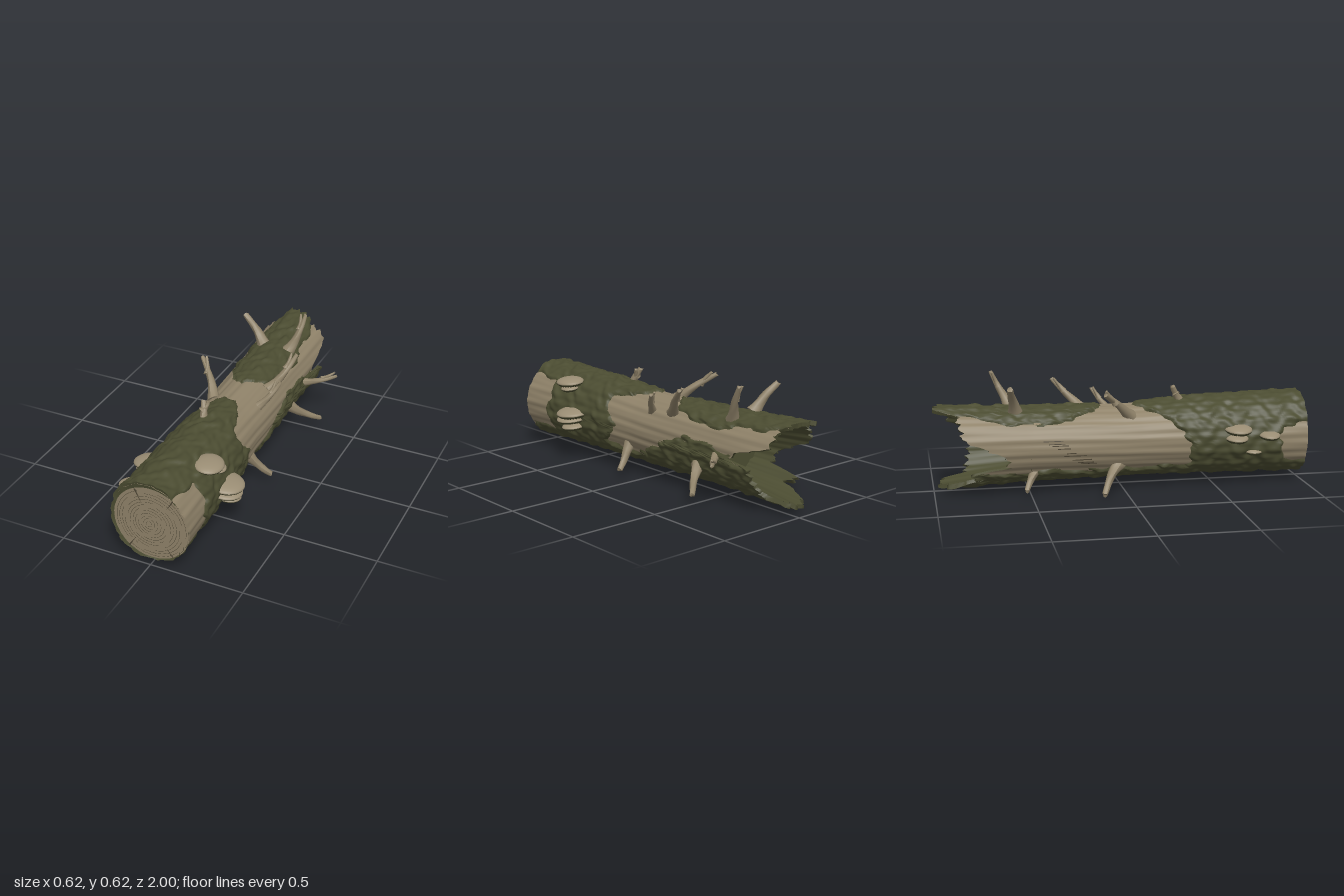
import * as THREE from 'three';

const material = (name, color, side = THREE.FrontSide) => {
  const m = new THREE.MeshStandardMaterial({ color, side });
  m.name = name;
  return m;
};

const { sin, cos, PI, min, max, abs } = Math;
const clamp = THREE.MathUtils.clamp;

// piecewise linear lookup, points sorted by x
function table(x, pts) {
  if (x <= pts[0][0]) return pts[0][1];
  for (let i = 1; i < pts.length; i++) {
    const [x0, y0] = pts[i - 1], [x1, y1] = pts[i];
    if (x <= x1) return y0 + (y1 - y0) * (x - x0) / (x1 - x0);
  }
  return pts[pts.length - 1][1];
}

// trunk axis and radius along z; angle t runs from the top towards +x
const centreX = z => table(z, [[-0.9, -0.045], [-0.6, -0.035], [0, -0.02], [1, 0.002]]);
const centreY = z => table(z, [[-1, 0.25], [0, 0.248], [0.4, 0.256], [1, 0.258]]);
const baseRadius = z => table(z, [[-1, 0.212], [-0.8, 0.202], [-0.5, 0.19], [0.1, 0.188], [0.4, 0.2], [1, 0.212]]);
const woodRadius = (t, z) => baseRadius(z) + 0.002 * sin(17 * t + 2 * sin(3 * z)) + 0.0015 * sin(31 * t + 4 * z)
  + 0.003 * sin(3 * t + 2 * z);
const onTrunk = (t, z, r) => [centreX(z) + r * sin(t), centreY(z) + r * cos(t), z];

// jagged outline of the broken end
const END = [[0, -0.98], [20, -0.95], [28, -0.91], [50, -0.92], [64, -0.9], [70, -0.8], [80, -0.69], [90, -0.66],
  [96, -0.8], [120, -0.81], [150, -0.83], [160, -0.95], [180, -0.97], [200, -0.9], [216, -0.74], [228, -0.82],
  [240, -0.62], [258, -0.62], [272, -0.72], [288, -0.85], [310, -0.87], [332, -0.88], [340, -0.99], [360, -0.98]];
const endZ = t => max(-1, table(THREE.MathUtils.radToDeg(t), END) + 0.012 * sin(29 * t) + 0.008 * sin(53 * t));

// signed cover of bark: positive where bark clings, negative where bare wood shows
function barkCover(t, z) {
  let d = THREE.MathUtils.radToDeg(t);
  if (d > 180) d -= 360;
  const deg = 0.0035;
  const edge = table(d, [[-180, 0.3], [-90, 0.36], [-50, 0.22], [-30, 0.13], [-15, 0.08], [18, 0.08], [32, 0.2],
    [45, 0.3], [70, 0.3], [85, 0.23], [105, 0.24], [120, 0.31], [180, 0.3]]);
  const rightWindow = min(z - 0.8, (42 - abs(d - 85)) * deg);
  const leftWindow = min(z - 0.86, (28 - abs(d + 100)) * deg);
  const front = min(z - edge, -rightWindow, -leftWindow);
  const rightLimit = table(z, [[-0.85, 98], [-0.75, 92], [-0.55, 74], [-0.28, 77], [-0.18, 95], [-0.06, 108], [0, 126]]);
  const under = d > 0 ? (d - rightLimit) * deg : (-d - 132) * deg;
  const half = table(z, [[-1, 27], [-0.8, 36], [-0.6, 47], [-0.4, 54], [-0.2, 34], [-0.1, 0], [0.1, -60]]);
  const top = (half - abs(d)) * deg;
  const wobble = 0.012 * sin(7 * t + 19 * z) + 0.009 * sin(13 * t - 31 * z) + 0.006 * sin(23 * t + 47 * z);
  return max(front, under, top) + wobble;
}
function barkRadius(t, z) {
  const k = clamp(barkCover(t, z) / 0.014, -0.5, 1);
  const bump = 0.004 * sin(5 * t + 21 * z + 2 * sin(4 * t)) * sin(17 * z - 3 * t) + 0.003 * sin(14 * t + 3 * sin(33 * z))
    + 0.0025 * sin(50 * z + 3 * sin(6 * t));
  return woodRadius(t, z) + (k > 0 ? k * (0.012 + bump) - 0.001 : 0.012 * k - 0.001);
}

// closed loops of nu points, nv + 1 rows, optionally leaving out cells
function loops(name, mat, nu, nv, point, keep) {
  const pos = [], index = [];
  for (let j = 0; j <= nv; j++) {
    for (let i = 0; i < nu; i++) pos.push(...point(i / nu * 2 * PI, j / nv));
  }
  for (let j = 0; j < nv; j++) {
    for (let i = 0; i < nu; i++) {
      if (keep && !keep((i + 0.5) / nu * 2 * PI, (j + 0.5) / nv)) continue;
      const a = j * nu + i, b = j * nu + (i + 1) % nu;
      index.push(a, b, b + nu, a, b + nu, a + nu);
    }
  }
  const g = new THREE.BufferGeometry();
  g.setAttribute('position', new THREE.Float32BufferAttribute(pos, 3));
  g.setIndex(index);
  g.computeVertexNormals();
  const mesh = new THREE.Mesh(g, mat);
  mesh.name = name;
  return mesh;
}

export function createModel() {
  const model = new THREE.Group();
  model.name = 'fallenLog';
  const wood = material('bare wood', 0x8f8269);
  const bark = material('mossy bark', 0x4b4c31);
  const crack = material('dark crack', 0x4d4535, THREE.DoubleSide);
  const cap = material('pale fungus', 0x9a8d74);
  const add = (name, geometry, mat, parent = model) => {
    const mesh = new THREE.Mesh(geometry, mat);
    mesh.name = name;
    parent.add(mesh);
    return mesh;
  };

  // trunk and the bark layer over it
  const along = (t, v) => 1 + (endZ(t) - 1) * v;
  model.add(loops('trunk', wood, 120, 90, (t, v) => onTrunk(t, along(t, v), woodRadius(t, along(t, v)))));
  model.add(loops('bark', bark, 150, 180, (t, v) => onTrunk(t, along(t, v), barkRadius(t, along(t, v))),
    (t, v) => barkCover(t, along(t, v)) > -0.02));

  // broken rim and hollow
  const hollowRadius = (t, z) => woodRadius(t, z) - 0.012 - 0.025 * clamp((z - endZ(t)) / 0.3, 0, 1);
  model.add(loops('brokenRim', bark, 150, 1, (t, v) => {
    const z = endZ(t);
    return onTrunk(t, z, v ? hollowRadius(t, z) : max(woodRadius(t, z), barkRadius(t, z)));
  }));
  model.add(loops('hollow', bark, 120, 12, (t, v) => {
    const z = endZ(t) + (-0.5 - endZ(t)) * v;
    return onTrunk(t, z, hollowRadius(t, z));
  }));
  const plug = add('hollowEnd', new THREE.CircleGeometry(0.19, 40), bark);
  plug.position.set(centreX(-0.5), centreY(-0.5), -0.5);
  plug.rotation.y = PI;

  // sawn face with bark ring, growth rings and splits
  model.add(loops('sawnBarkRing', bark, 150, 1, (t, v) => v
    ? onTrunk(t, 1, max(woodRadius(t, 1), barkRadius(t, 1)))
    : [0.012 + 0.2 * sin(t), 0.248 + 0.2 * cos(t), 0.992]));
  const face = add('sawnFace', new THREE.CircleGeometry(0.206, 64), wood);
  face.position.set(0.012, 0.248, 0.994);
  for (let i = 0; i < 12; i++) {
    const r = 0.014 + i * 0.0158;
    for (let k = 0; k < 3; k++) {
      const ring = add('growthRing', new THREE.RingGeometry(r, r + 0.0018, 24, 1, i * 1.7 + k * 2.1, 1.5), crack);
      ring.position.set(0.012 * i / 11, 0.244 + 0.004 * i / 11, 0.9955);
    }
  }
  for (const [x0, y0, x1, y1] of [[-0.072, 0.432, -0.034, 0.352], [0.136, 0.42, 0.098, 0.36],
    [-0.122, 0.072, -0.078, 0.14], [0.125, 0.08, 0.088, 0.13]]) {
    const nx = (y1 - y0) * 0.06, ny = (x0 - x1) * 0.06;
    const s = new THREE.Shape([[x0 + nx, y0 + ny], [x0 - nx, y0 - ny], [x1, y1]].map(p => new THREE.Vector2(...p)));
    add('radialSplit', new THREE.ShapeGeometry(s), crack).position.z = 0.996;
  }

  // long weather cracks on the bare wood
  for (let i = 0; i < 70; i++) {
    const t = (i * 2.39996) % (2 * PI), z = -0.75 + ((i * 0.618) % 1) * 1.7, len = 0.05 + (i % 5) * 0.018;
    if (barkCover(t, z) > -0.05 || z - len < endZ(t) + 0.05) continue;
    const slit = add('weatherCrack', new THREE.BoxGeometry(0.004, 0.005, len), crack);
    slit.position.set(...onTrunk(t, z, woodRadius(t, z)));
    slit.rotation.z = -t;
  }

  // branch stubs: base, tip, base radius, tip radius, fork flag
  const up = new THREE.Vector3(0, 1, 0);
  function stick(parent, a, b, r0, r1) {
    const len = a.distanceTo(b);
    const g = new THREE.CylinderGeometry(r1, r0, len, 9, 7);
    const p = g.attributes.position;
    for (let i = 0; i < p.count; i++) {
      const s = p.getY(i) / len + 0.5, angle = Math.atan2(p.getZ(i), p.getX(i));
      const f = 1 + 0.5 * (1 - s) ** 4 + 0.1 * sin(3 * angle + 9 * s);
      const bend = 0.05 * len * sin(s * PI);
      p.setXYZ(i, p.getX(i) * f + bend, p.getY(i) + (s > 0.99 ? 0.35 * r1 * sin(2 * angle) : 0), p.getZ(i) * f);
    }
    g.computeVertexNormals();
    const mesh = add('branchStub', g, wood, parent);
    mesh.position.copy(a).lerp(b, 0.5);
    mesh.quaternion.setFromUnitVectors(up, b.clone().sub(a).normalize());
  }
  const branches = [
    [[-0.1, 0.43, -0.57], [-0.235, 0.575, -0.61], 0.027, 0.016, 0],
    [[-0.12, 0.39, 0.04], [-0.265, 0.535, -0.12], 0.024, 0.012, 1],
    [[-0.04, 0.42, 0.34], [-0.06, 0.53, 0.28], 0.022, 0.014, 1],
    [[0.05, 0.42, -0.58], [0.11, 0.615, -0.68], 0.026, 0.01, 1],
    [[0.1, 0.39, -0.18], [0.2, 0.55, -0.34], 0.024, 0.011, 1],
    [[0.1, 0.36, -0.02], [0.2, 0.49, -0.12], 0.02, 0.01, 1],
    [[0.13, 0.25, -0.55], [0.305, 0.25, -0.7], 0.02, 0.009, 1],
    [[0.13, 0.17, -0.41], [0.28, 0.057, -0.53], 0.025, 0.013, 0],
    [[0.13, 0.17, 0.14], [0.245, 0.043, 0.09], 0.025, 0.015, 0],
    [[-0.15, 0.14, -0.03], [-0.3, 0.014, -0.13], 0.026, 0.015, 0],
    [[-0.13, 0.13, -0.46], [-0.235, 0.037, -0.53], 0.024, 0.013, 0],
  ];
  for (const [base, tip, r0, r1, fork] of branches) {
    const branch = new THREE.Group();
    branch.name = 'branch';
    model.add(branch);
    const a = new THREE.Vector3(...base), b = new THREE.Vector3(...tip);
    stick(branch, a, b, r0, r1);
    if (fork) {
      const start = a.clone().lerp(b, 0.6);
      const side = b.clone().sub(a).normalize().cross(new THREE.Vector3(0, 0, 1)).normalize();
      const end = a.clone().lerp(b, 0.95).addScaledVector(side, base[0] > 0 ? -0.026 : 0.03);
      stick(branch, start, end, r1 * 1.1, r1 * 0.6);
    }
  }

  // bracket fungi: centre, reach, height, half width along z
  const brackets = [
    [0.2, 0.27, 0.56, 0.1, 0.026, 0.095], [0.2, 0.235, 0.57, 0.095, 0.022, 0.085], [0.2, 0.195, 0.55, 0.08, 0.02, 0.065],
    [0.155, 0.425, 0.65, 0.075, 0.024, 0.085], [0.18, 0.395, 0.62, 0.05, 0.016, 0.05],
    [-0.2, 0.315, 0.61, 0.09, 0.024, 0.075], [-0.2, 0.27, 0.6, 0.085, 0.022, 0.065],
    [-0.2, 0.28, 0.78, 0.085, 0.022, 0.06], [-0.19, 0.19, 0.7, 0.05, 0.018, 0.05],
  ];
  for (const [x, y, z, reach, h, w] of brackets) {
    const bracket = new THREE.Group();
    bracket.name = 'bracketFungus';
    add('cap', new THREE.SphereGeometry(1, 28, 6, 0, 2 * PI, 0, PI / 2), cap, bracket);
    const g = new THREE.SphereGeometry(1, 56, 6, 0, 2 * PI, PI / 2, PI / 2);
    const p = g.attributes.position;
    for (let i = 0; i < p.count; i++) {
      const ridge = 1 + 0.15 * cos(28 * Math.atan2(p.getZ(i), p.getX(i)));
      p.setY(i, p.getY(i) * ridge * 1.1);
    }
    g.computeVertexNormals();
    add('gills', g, bark, bracket);
    bracket.scale.set(reach, h, w);
    bracket.position.set(x, y, z);
    bracket.rotation.z = x > 0 ? -0.12 : 0.12;
    model.add(bracket);
  }
  return model;
}
